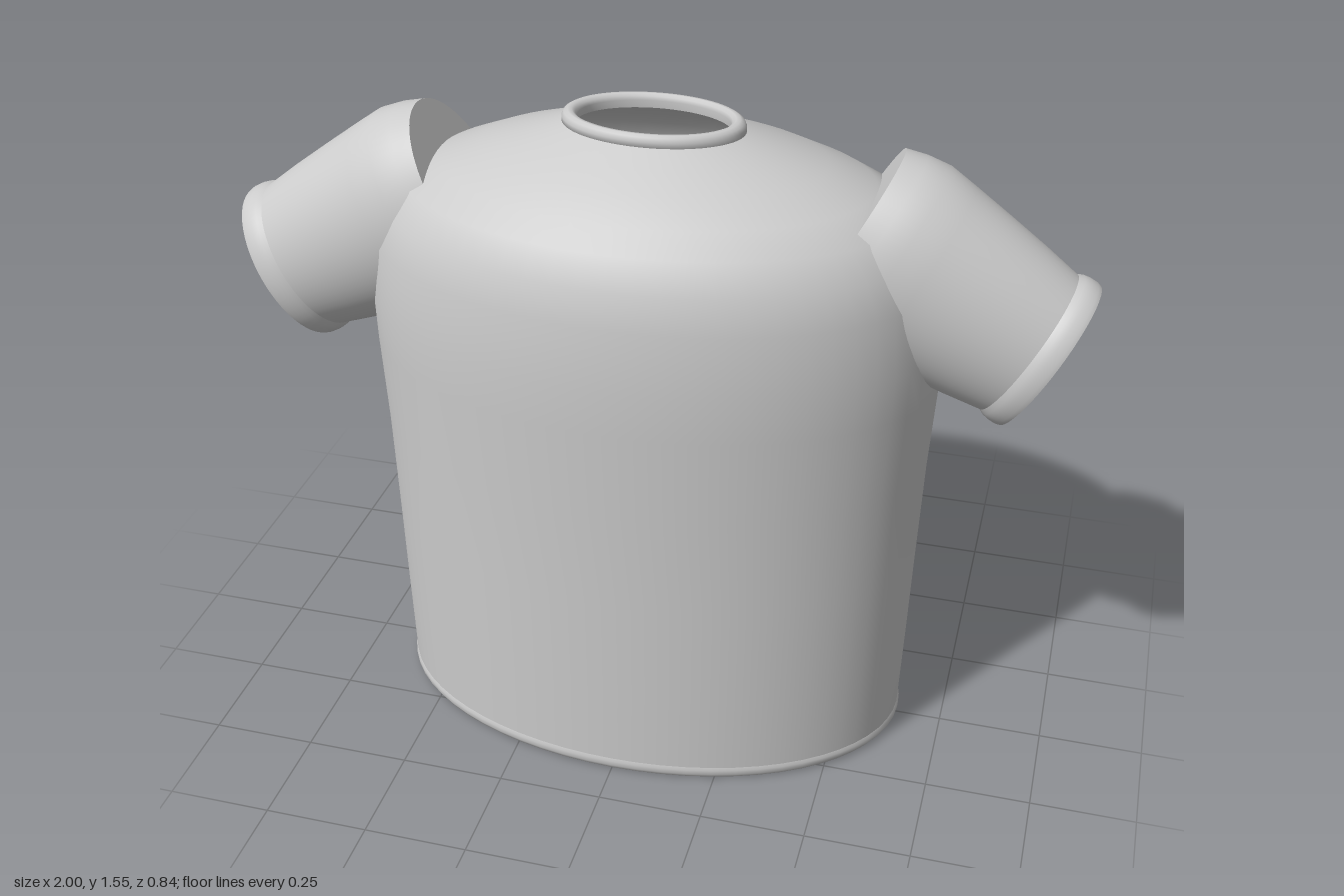
import * as THREE from 'three';

const material = new THREE.MeshStandardMaterial({ color: 0xcccccc, side: THREE.DoubleSide });

// Oval part: a profile of [radius, height] turned around y, then flattened in z
function oval(name, profile, depth) {
  const points = profile.map(([r, y]) => new THREE.Vector2(r, y));
  const geometry = new THREE.LatheGeometry(points, 64, Math.PI);
  geometry.scale(1, 1, depth);
  const mesh = new THREE.Mesh(geometry, material);
  mesh.name = name;
  return mesh;
}

function createSleeve(side) {
  const sleeve = new THREE.Group();
  sleeve.name = side > 0 ? 'leftSleeve' : 'rightSleeve';
  const depth = 0.78;
  sleeve.add(
    // Shoulder end, closed where it meets the body
    oval('shoulderEnd', [[0, -0.252], [0.218, -0.252]], depth),
    oval('sleeveTube', [
      [0.218, -0.252], [0.232, -0.205], [0.24, -0.15], [0.232, -0.08],
      [0.219, 0.02], [0.205, 0.12], [0.189, 0.215],
    ], depth),
    // Slightly flared cuff
    oval('cuff', [[0.189, 0.212], [0.196, 0.225], [0.199, 0.24], [0.199, 0.258], [0.196, 0.268]], depth),
    oval('cuffEnd', [[0.196, 0.268], [0, 0.268]], depth),
  );
  sleeve.position.set(side * 0.671, 1.209, 0);
  sleeve.rotation.z = -side * 2.077;
  return sleeve;
}

export function createModel() {
  const shirt = new THREE.Group();
  shirt.name = 'shirt';
  const depth = 0.622;

  // Hollow torso, open at the neck
  shirt.add(oval('torso', [
    [0.638, 0.03], [0.645, 0.25], [0.652, 0.5], [0.66, 0.75], [0.672, 0.97],
    [0.675, 1.08], [0.664, 1.23], [0.63, 1.31], [0.583, 1.38], [0.5, 1.425],
    [0.395, 1.468], [0.3, 1.498], [0.205, 1.529], [0.178, 1.535],
  ], depth));

  // Hem and closed underside
  shirt.add(oval('hem', [
    [0.622, 0], [0.634, 0.004], [0.641, 0.014], [0.642, 0.026], [0.637, 0.036],
  ], depth));
  shirt.add(oval('underside', [[0, 0.003], [0.626, 0.003]], depth));

  // Ribbed neck ring
  shirt.add(oval('collar', [
    [0.176, 1.522], [0.208, 1.522], [0.208, 1.54], [0.203, 1.55], [0.194, 1.555],
    [0.184, 1.555], [0.176, 1.549], [0.173, 1.54], [0.176, 1.522],
  ], depth));

  for (const side of [1, -1]) shirt.add(createSleeve(side));
  return shirt;
}
